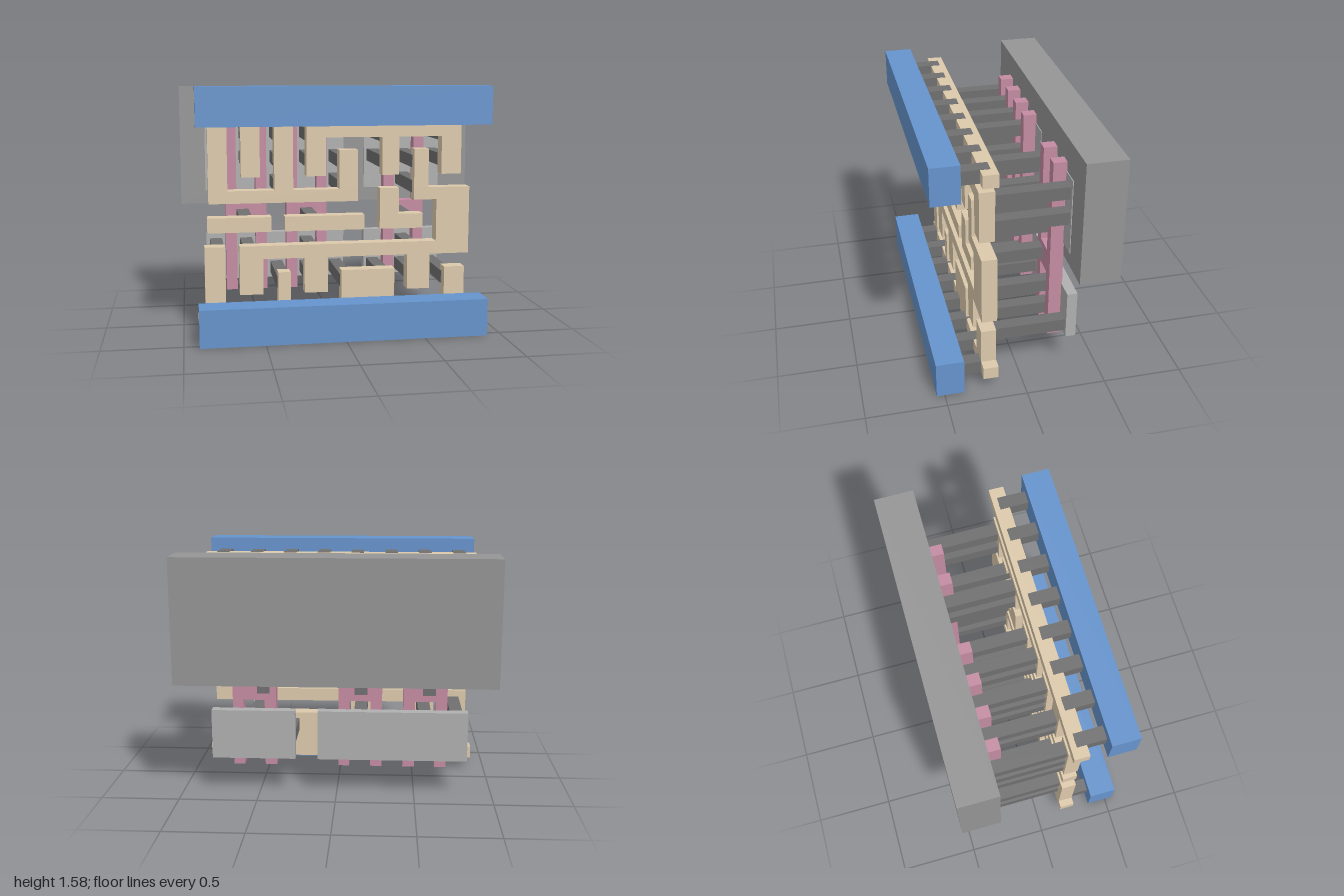
import * as THREE from 'three';

const material = (color) => new THREE.MeshStandardMaterial({ color, flatShading: true });

export function createModel() {
  const model = new THREE.Group();
  const blue = material(0x6694cd), tan = material(0xddcaac), pink = material(0xc48ca2);
  const dark = material(0x707070), light = material(0xb0b0b0), grey = material(0x959595);

  // Box given by its limits on each axis
  const addBox = (parent, name, mat, x0, x1, y0, y1, z0, z1) => {
    const mesh = new THREE.Mesh(new THREE.BoxGeometry(x1 - x0, y1 - y0, z1 - z0), mat);
    mesh.position.set((x0 + x1) / 2, (y0 + y1) / 2, (z0 + z1) / 2);
    mesh.name = name;
    parent.add(mesh);
  };
  const addGroup = (name) => {
    const g = new THREE.Group();
    g.name = name;
    model.add(g);
    return g;
  };

  // Block at the back, with thin plates let into it and below it
  addBox(model, 'well', grey, -1, 1, 0.765, 1.555, -0.55, -0.3);
  const plates = addGroup('diffusionPlates');
  for (const [x0, x1] of [[-0.835, 0.12], [0.265, 0.8]]) {
    addBox(plates, 'upperPlate', light, x0, x1, 0.855, 1.345, -0.36, -0.295);
    addBox(plates, 'lowerPlate', light, x0, x1, 0.235, 0.555, -0.36, -0.295);
  }

  // Pairs of upright gates, joined by a pad
  const gates = addGroup('gates');
  for (const [x0, x1, x2, x3] of [[-0.705, -0.63, -0.5, -0.425], [-0.29, -0.215, -0.08, -0.01], [0.39, 0.465, 0.6, 0.67]]) {
    addBox(gates, 'gate', pink, x0, x1, 0.175, 1.405, -0.3, -0.215);
    addBox(gates, 'gate', pink, x2, x3, 0.175, 1.405, -0.3, -0.215);
    addBox(gates, 'gatePad', pink, x1, x2, 0.61, 0.77, -0.3, -0.215);
  }

  // Wiring layer: each entry is x0, x1, y0, y1
  const wiring = addGroup('wiring');
  const wires = {
    rail: [[-0.905, 0.905, 0.08, 0.16], [-0.905, 0.905, 1.417, 1.5]],
    upperComb: [[-0.83, 0.12, 0.84, 0.92], [-0.83, -0.71, 0.92, 1.335], [-0.415, -0.295, 0.92, 1.335], [0, 0.12, 0.92, 1.17]],
    topLink: [[-0.625, -0.505, 1.005, 1.417]],
    upperBridge: [[-0.21, 0.8, 1.25, 1.335], [-0.21, -0.085, 1.005, 1.25], [0.28, 0.39, 1.005, 1.25], [0.67, 0.8, 1.005, 1.25]],
    shortBar: [[-0.84, -0.435, 0.655, 0.75], [-0.35, 0.165, 0.655, 0.75]],
    cornerBar: [[0.265, 0.39, 0.655, 0.92], [0.39, 0.55, 0.655, 0.75]],
    lowerComb: [[-0.64, 0.86, 0.48, 0.565], [0.64, 0.86, 0.565, 0.92], [0.49, 0.64, 0.84, 0.92], [0.49, 0.585, 0.92, 1.17],
      [-0.64, -0.49, 0.25, 0.48], [-0.225, -0.075, 0.25, 0.48], [0.45, 0.6, 0.25, 0.48]],
    bottomLink: [[-0.86, -0.73, 0.16, 0.565], [-0.395, -0.315, 0.16, 0.39], [0.015, 0.365, 0.16, 0.39], [0.7, 0.835, 0.16, 0.39]],
  };
  for (const [name, boxes] of Object.entries(wires))
    for (const b of boxes) addBox(wiring, name, tan, ...b, 0.16, 0.255);

  // Contact posts from the wiring to the plates: column x, then heights
  const contacts = addGroup('contacts');
  const addPost = (x, y, z0) => addBox(contacts, 'contact', dark, x - 0.041, x + 0.041, y - 0.041, y + 0.041, z0, 0.2);
  const columns = [
    [-0.77, 0.31, 0.48, 0.92, 1.085, 1.255],
    [-0.565, 0.31, 0.48, 1.085, 1.255],
    [-0.355, 0.31, 0.92, 1.085, 1.255],
    [-0.15, 0.31, 0.48, 1.085, 1.255],
    [0.055, 0.31, 0.92, 1.085],
    [0.325, 0.31, 1.085, 1.255],
    [0.53, 0.31, 0.48, 0.92, 1.085],
    [0.735, 0.31, 1.085, 1.255],
  ];
  for (const [x, ...heights] of columns) for (const y of heights) addPost(x, y, -0.3);

  // Posts through the gate pads
  for (const x of [-0.59, -0.155, 0.472]) addPost(x, 0.693, -0.302);

  // Front rails, each on a row of eight stubs
  for (const [y0, stubY] of [[0, 0.12], [1.34, 1.459]]) {
    addBox(model, 'frontRail', blue, -0.905, 0.905, y0, y0 + 0.238, 0.375, 0.55);
    const stubs = addGroup('railStubs');
    for (let i = 0; i < 8; i++) {
      const x = -0.796 + i * 0.227;
      addBox(stubs, 'stub', dark, x - 0.042, x + 0.042, stubY - 0.043, stubY + 0.043, 0.195, 0.375);
    }
  }
  return model;
}
